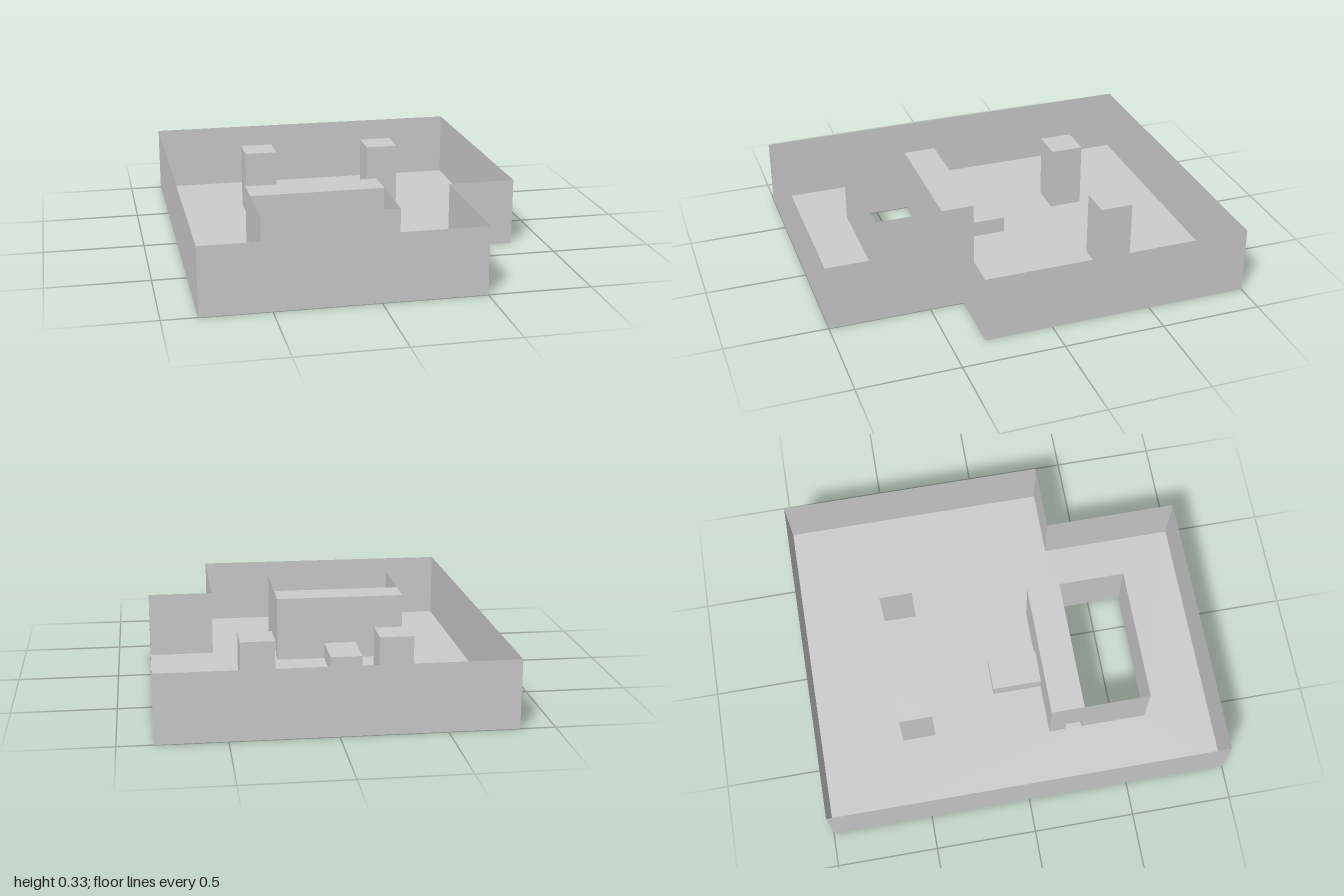
import * as THREE from 'three';

const U = 1 / 6;      // plan module
const H = 2 * U;      // wall height
const LOW = U / 2;    // height of the low step and the slot

const material = new THREE.MeshStandardMaterial({ color: 0xcccccc, flatShading: true, side: THREE.DoubleSide });

export function createModel() {
  const model = new THREE.Group();

  const add = (name, geometry) => {
    const mesh = new THREE.Mesh(geometry, material);
    mesh.name = name;
    model.add(mesh);
    return mesh;
  };

  // Box standing on the floor, given by its plan limits in modules
  const block = (name, x0, x1, z0, z1, h) =>
    add(name, new THREE.BoxGeometry((x1 - x0) * U, h, (z1 - z0) * U))
      .position.set((x0 + x1) * U / 2, h / 2, (z0 + z1) * U / 2);

  // Thin upright walls following a plan path of [x, z] points in modules
  const walls = (name, path, h) => {
    const group = new THREE.Group();
    group.name = name;
    for (let i = 0; i < path.length - 1; i++) {
      const [ax, az] = path[i], [bx, bz] = path[i + 1];
      const wall = new THREE.Mesh(new THREE.PlaneGeometry(Math.hypot(bx - ax, bz - az) * U, h), material);
      wall.name = name + 'Panel';
      wall.position.set((ax + bx) * U / 2, h / 2, (az + bz) * U / 2);
      wall.rotation.y = -Math.atan2(bz - az, bx - ax);
      group.add(wall);
    }
    model.add(group);
  };

  const toVectors = (path) => path.map(([x, z]) => new THREE.Vector2(x * U, z * U));

  // Floor with an open courtyard
  const outline = [[-5, 6], [3, 6], [3, 2], [5, 2], [5, -6], [-5, -6]];
  const court = [[-3, 2], [-3, 4], [1, 4], [1, 2]];
  const floorShape = new THREE.Shape(toVectors(outline));
  floorShape.holes.push(new THREE.Path(toVectors(court)));
  add('floor', new THREE.ShapeGeometry(floorShape).rotateX(Math.PI / 2));

  // Outer walls and courtyard walls
  walls('outerWall', [...outline, outline[0]], H);
  walls('courtyardWall', court, H);
  walls('slotWall', [[-3, 2], [1, 2]], LOW);

  // Thick wall behind the courtyard, with a low slot running along its foot
  const section = new THREE.Shape([
    [U, 0], [1.5 * U, 0], [1.5 * U, LOW], [2 * U, LOW], [2 * U, H], [U, H],
  ].map(([z, y]) => new THREE.Vector2(z, y)));
  add('thickWall', new THREE.ExtrudeGeometry(section, { depth: 4 * U, bevelEnabled: false })
    .rotateY(-Math.PI / 2).translate(U, 0, 0));

  // Low step against the thick wall
  block('step', -1.5, -0.5, -0.5, 1, LOW);

  // Pair of square pillars
  for (const x of [-2, 2]) block('pillar', x - 0.5, x + 0.5, -3.5, -2.5, H);

  return model;
}
